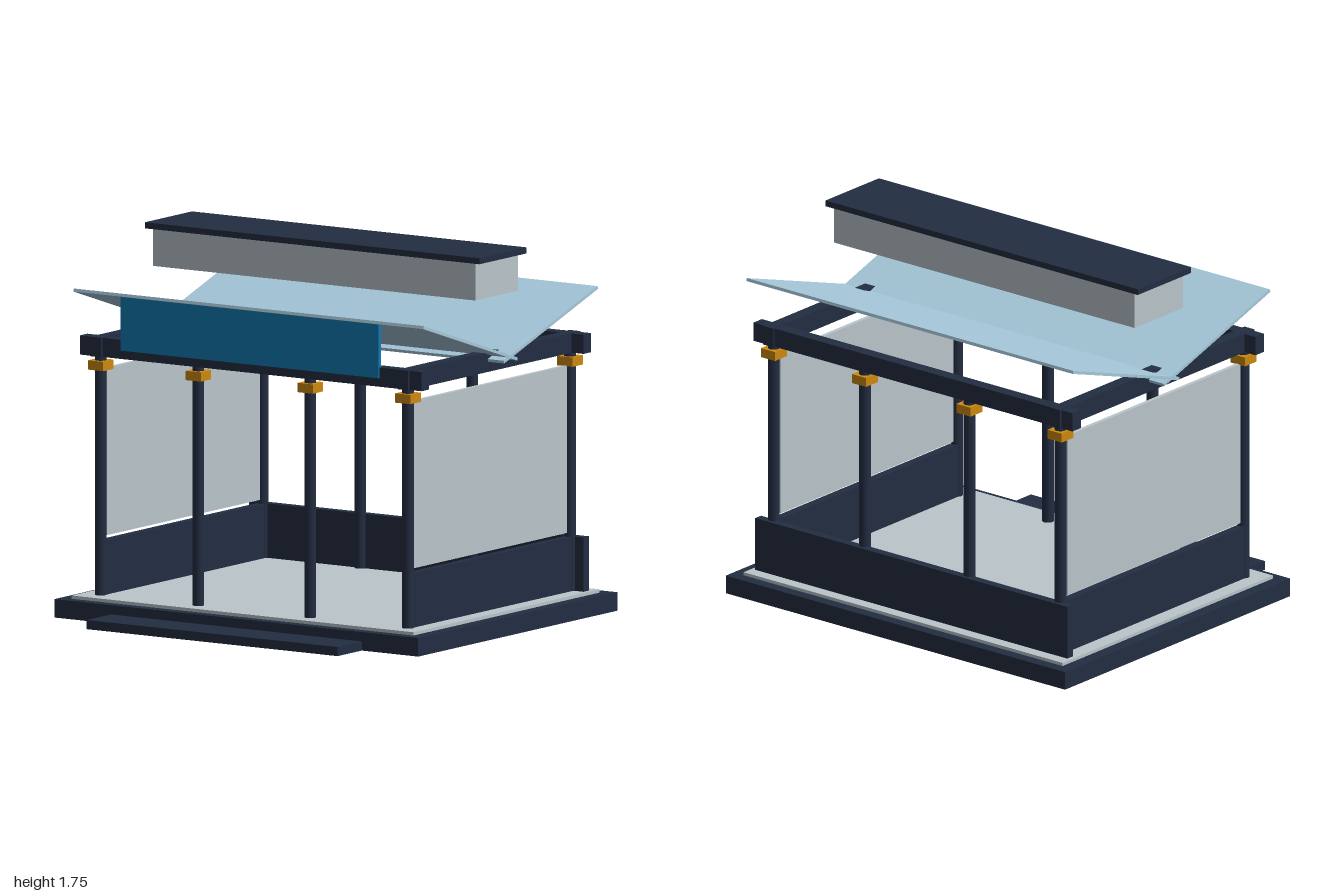
import * as THREE from 'three';

const mat = (name, color) => {
  const m = new THREE.MeshStandardMaterial({ color });
  m.name = name;
  return m;
};

export function createModel() {
  const group = new THREE.Group();
  const navy = mat('navy', 0x232d42);
  const pale = mat('paleGrey', 0xbac5cb);
  const sky = mat('lightBlue', 0xa6c9db);
  const blue = mat('blue', 0x0f7bb4);
  const amber = mat('amber', 0xcd890f);

  // Box given by its extents on each axis
  const box = (name, material, [x0, x1], [y0, y1], [z0, z1]) => {
    const mesh = new THREE.Mesh(new THREE.BoxGeometry(x1 - x0, y1 - y0, z1 - z0), material);
    mesh.position.set((x0 + x1) / 2, (y0 + y1) / 2, (z0 + z1) / 2);
    mesh.name = name;
    group.add(mesh);
    return mesh;
  };

  // Base, step and floor
  box('base', navy, [-1, 1], [0, 0.085], [-0.9, 0.705]);
  box('frontStep', navy, [-0.69, 0.69], [0, 0.042], [0.705, 0.9]);
  box('floor', pale, [-0.94, 0.94], [0.085, 0.1], [-0.845, 0.655]);

  // Columns with square collars, front and back rows
  const frontZ = 0.56, backZ = -0.745, sideX = 0.845;
  for (const z of [frontZ, backZ]) {
    for (const x of [-sideX, -0.308, 0.308, sideX]) {
      const column = new THREE.Mesh(new THREE.CylinderGeometry(0.027, 0.027, 1.11, 16), navy);
      column.position.set(x, 0.655, z);
      column.name = 'column';
      group.add(column);
      box('collar', amber, [x - 0.042, x + 0.042], [1.137, 1.18], [z - 0.042, z + 0.042]);
    }
    box('crossBeam', navy, [-0.94, 0.94], [1.2, 1.288], [z - 0.03, z + 0.03]);
  }

  // Low walls, side screens and side beams
  box('backLowWall', navy, [-0.92, 0.92], [0.1, 0.35], [-0.787, -0.745]);
  for (const s of [-1, 1]) {
    const x = s * sideX;
    box('sideLowWall', navy, [x - 0.02, x + 0.02], [0.1, 0.35], [backZ, frontZ]);
    box('sideScreen', pale, [x - 0.01, x + 0.01], [0.37, 1.14], [-0.708, 0.525]);
    box('sideBeam', navy, [x - 0.03, x + 0.03], [1.2, 1.29], [-0.785, 0.602]);
  }

  // Front sign panel
  box('frontPanel', blue, [-0.71, 0.71], [1.24, 1.488], [0.58, 0.6]);

  // Butterfly roof: two slabs crossing at the valley
  const valleyZ = -0.095, run = 0.757, rise = 0.244;
  for (const s of [-1, 1]) {
    const slab = new THREE.Mesh(new THREE.BoxGeometry(1.925, 0.014, Math.hypot(run, rise)), sky);
    slab.position.set(0, 1.375, valleyZ + s * 0.3235);
    slab.rotation.x = -s * Math.atan2(rise, run);
    slab.name = 'roofSlab';
    group.add(slab);
  }

  // Raised lantern box with its lid
  box('lantern', pale, [-0.886, 0.886], [1.545, 1.717], [valleyZ - 0.173, valleyZ + 0.173]);
  box('lanternLid', navy, [-0.92, 0.92], [1.717, 1.745], [valleyZ - 0.19, valleyZ + 0.19]);

  return group;
}
